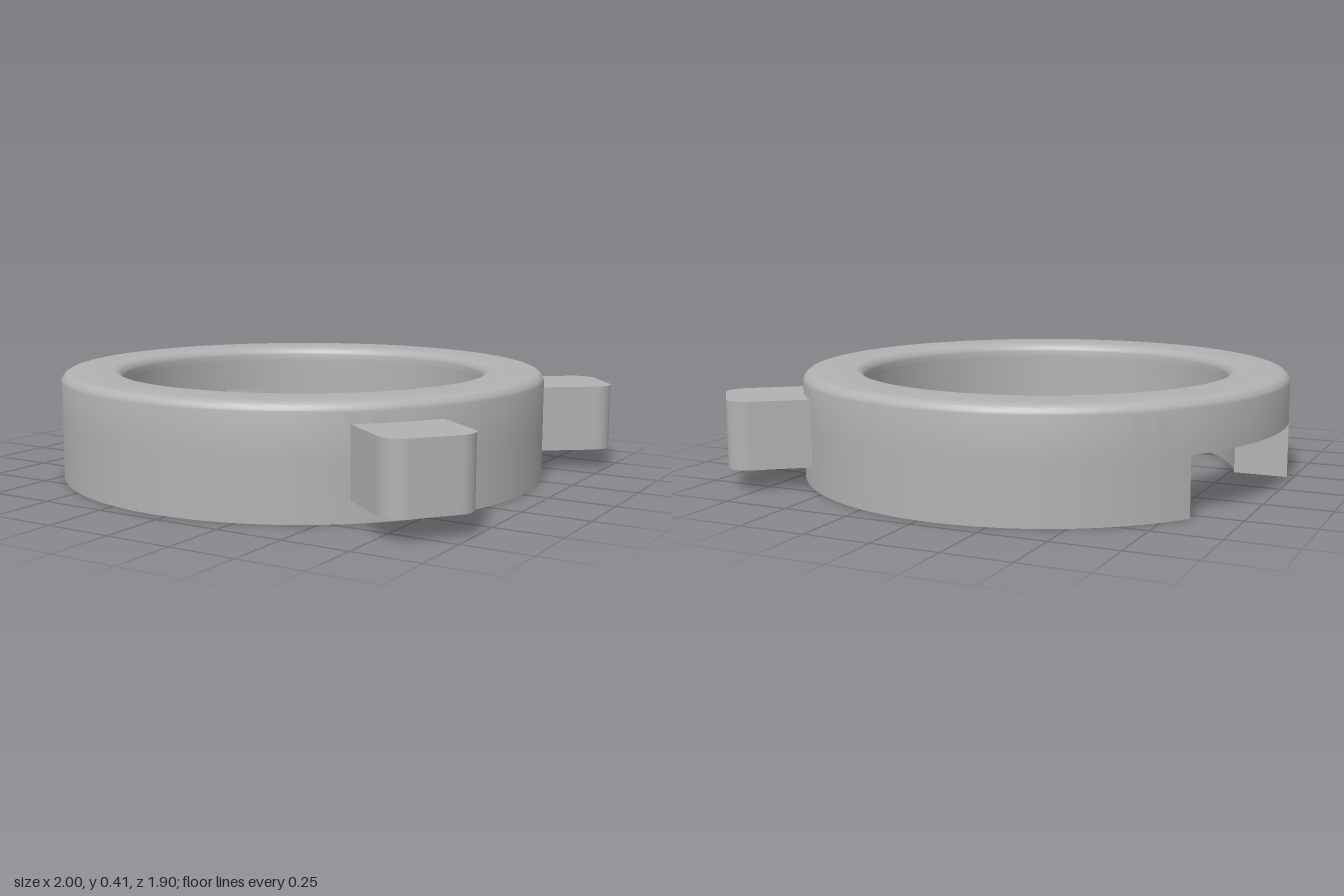
import * as THREE from 'three';
import { toCreasedNormals } from 'three/addons/utils/BufferGeometryUtils.js';

const R = 0.95, BORE = 0.747, LIP = 0.713;      // outer, bore and lip radii
const H = 0.41, NOTCH = 0.22, LIP_Y = 0.35;     // heights
const FILLET = 0.04, PIN_R = 0.857, HOLE = 0.022;
const rad = THREE.MathUtils.degToRad;

// plan angles (from +x towards +z) where the notch walls meet the outer and bore surfaces
const OUT_A = rad(215.3), OUT_B = rad(527.3);
const IN_A = rad(223.8), IN_B = rad(523.8);
const TURN = Math.PI * 2;

const v2 = (x, y) => new THREE.Vector2(x, y);

// lathe over a plan-angle range; points running up face outward, down face inward
function lathe(points, from = 0, to = TURN, segments = 144) {
  const g = new THREE.LatheGeometry(points, segments, Math.PI / 2 - to, to - from);
  return toCreasedNormals(g, 0.6);
}

// downward-facing flat plate between two arcs, with round holes at given angles
function plate(outFrom, outTo, inFrom, inTo, holeAngles, y) {
  const s = new THREE.Shape();
  s.absarc(0, 0, R, outFrom, outTo, false);
  s.absarc(0, 0, BORE, inTo, inFrom, true);
  for (const a of holeAngles) {
    const h = new THREE.Path();
    h.absarc(PIN_R * Math.cos(a), PIN_R * Math.sin(a), HOLE, 0, TURN, true);
    s.holes.push(h);
  }
  return new THREE.ShapeGeometry(s, 120).rotateX(Math.PI / 2).translate(0, y, 0);
}

// upright wall from plan point a to plan point b, as tall as the notch
function wall([ra, aa], [rb, ab]) {
  const p = (r, a, y) => [r * Math.cos(a), y, r * Math.sin(a)];
  const g = new THREE.BufferGeometry();
  g.setAttribute('position', new THREE.Float32BufferAttribute(
    [...p(ra, aa, 0), ...p(rb, ab, 0), ...p(rb, ab, NOTCH), ...p(ra, aa, NOTCH)], 3));
  g.setIndex([0, 1, 2, 0, 2, 3]);
  g.computeVertexNormals();
  return g;
}

export function createModel() {
  const model = new THREE.Group();
  model.name = 'lockingRing';
  const grey = new THREE.MeshStandardMaterial({ color: 0xb2b2b2 });
  grey.name = 'grey';

  const ring = new THREE.Group();
  ring.name = 'ring';
  ring.position.x = -0.05;
  model.add(ring);
  const add = (name, geometry) => {
    const m = new THREE.Mesh(geometry, grey);
    m.name = name;
    ring.add(m);
    return m;
  };

  // upper ring: outer wall, rounded top edges, lip and upper bore
  const profile = [v2(R, NOTCH)];
  const steps = 8;
  for (let i = 0; i <= steps; i++) {
    const a = i / steps * Math.PI / 2;
    profile.push(v2(R - FILLET + FILLET * Math.cos(a), H - FILLET + FILLET * Math.sin(a)));
  }
  for (let i = 0; i <= steps; i++) {
    const a = i / steps * Math.PI / 2;
    profile.push(v2(LIP + FILLET - FILLET * Math.sin(a), H - FILLET + FILLET * Math.cos(a)));
  }
  profile.push(v2(LIP, LIP_Y), v2(BORE, LIP_Y), v2(BORE, NOTCH));
  add('upperRing', lathe(profile));

  // lower ring, interrupted by the notch
  add('lowerOuterWall', lathe([v2(R, 0), v2(R, NOTCH)], OUT_A, OUT_B));
  add('lowerBore', lathe([v2(BORE, NOTCH), v2(BORE, 0)], IN_A, IN_B));
  const pins = [rad(300), rad(60)];
  add('underside', plate(OUT_A, OUT_B, IN_A, IN_B, pins, 0));

  // notch
  add('notchCeiling', plate(OUT_B - TURN, OUT_A, IN_B - TURN, IN_A, [Math.PI], NOTCH));
  add('notchBackWall', wall([R, OUT_A], [BORE, IN_A]));
  add('notchFrontWall', wall([BORE, IN_B], [R, OUT_B]));

  // blind pin holes, one of them in the notch ceiling
  const cup = lathe([v2(0, 0.12), v2(HOLE, 0.12), v2(HOLE, 0)], 0, TURN, 24);
  for (const [a, y] of [[pins[0], 0], [pins[1], 0], [Math.PI, NOTCH]]) {
    add('pinHole', cup).position.set(PIN_R * Math.cos(a), y, PIN_R * Math.sin(a));
  }

  // two grip tabs with rounded outer corners
  const W = 0.168, END = 1.237, C = 0.08, base = Math.asin(W / R);
  const s = new THREE.Shape();
  s.absarc(0, 0, R, base, -base, true);
  s.lineTo(END - C, -W);
  s.absarc(END - C, -W + C, C, -Math.PI / 2, 0, false);
  s.absarc(END - C, W - C, C, 0, Math.PI / 2, false);
  s.closePath();
  const tab = toCreasedNormals(
    new THREE.ExtrudeGeometry(s, { depth: 0.255, bevelEnabled: false, curveSegments: 12 }), 0.6);
  tab.rotateX(-Math.PI / 2).translate(0, 0.08, 0);
  for (const side of [1, -1]) {
    add(side > 0 ? 'backTab' : 'frontTab', tab).rotation.y = side * rad(38);
  }
  return model;
}
